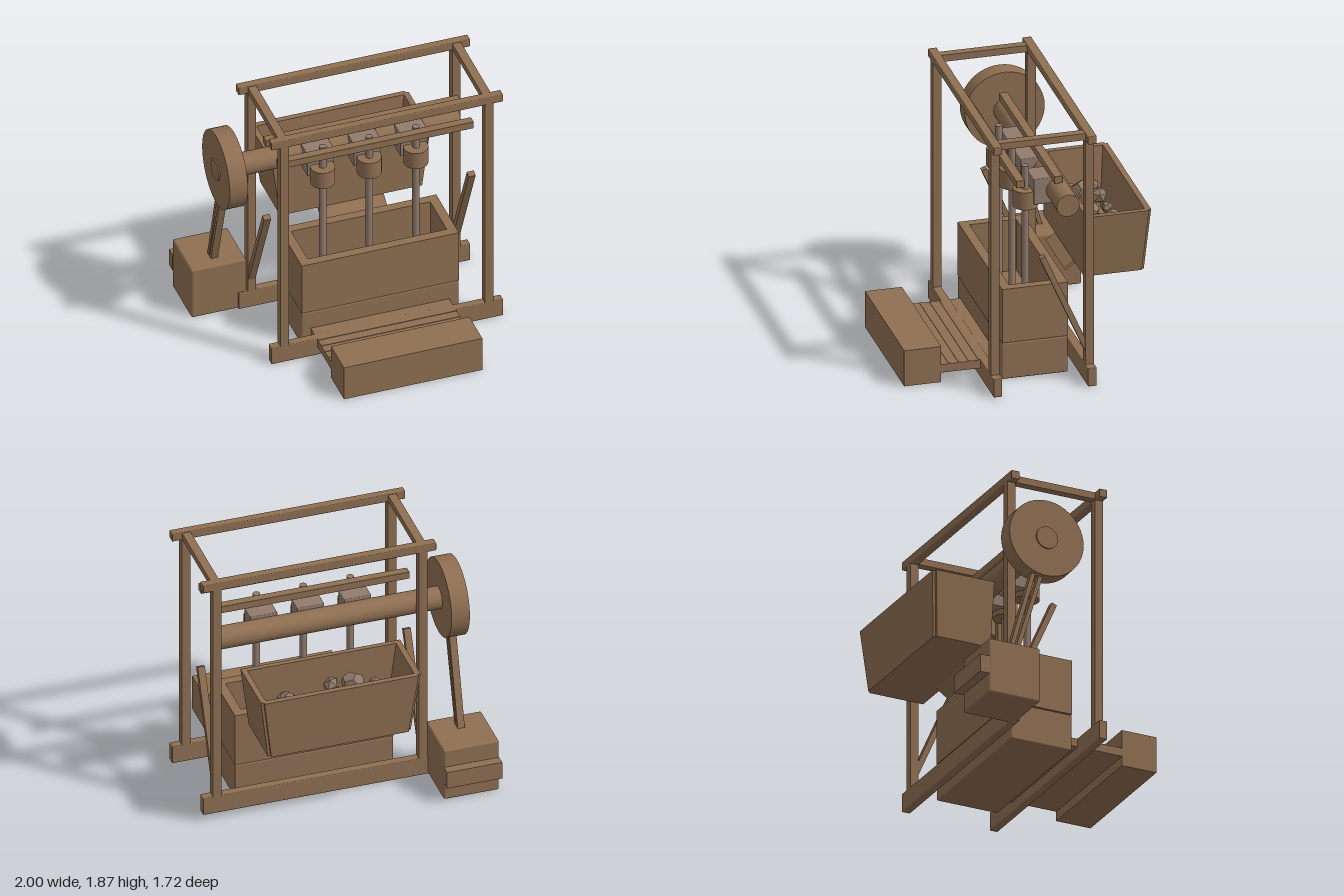
import * as THREE from 'three';
import { RoundedBoxGeometry } from 'three/addons/geometries/RoundedBoxGeometry.js';

export function createModel() {
  const model = new THREE.Group();
  model.name = 'stampMill';
  const wood = new THREE.MeshStandardMaterial({ color: 0x8f6f52 });
  wood.name = 'brownWood';
  const iron = new THREE.MeshStandardMaterial({ color: 0x917b6d });
  iron.name = 'greyIron';
  const stone = new THREE.MeshStandardMaterial({ color: 0x8f7866, flatShading: true });
  stone.name = 'greyStone';
  const MID = 0.165; // centre of the frame in x

  function add(name, geometry, material = wood, parent = model) {
    const mesh = new THREE.Mesh(geometry, material);
    mesh.name = name;
    parent.add(mesh);
    return mesh;
  }
  // Box given by its limits, optionally with softened edges
  function box(name, [x0, x1], [y0, y1], [z0, z1], material = wood, bevel = 0) {
    const size = [x1 - x0, y1 - y0, z1 - z0];
    const geo = bevel ? new RoundedBoxGeometry(...size, 2, bevel) : new THREE.BoxGeometry(...size);
    const mesh = add(name, geo, material);
    mesh.position.set((x0 + x1) / 2, (y0 + y1) / 2, (z0 + z1) / 2);
    return mesh;
  }
  // Slanted bar in the y-z plane
  function strut(name, x, width, thick, [y0, z0], [y1, z1]) {
    const mesh = add(name, new THREE.BoxGeometry(width, Math.hypot(y1 - y0, z1 - z0), thick));
    mesh.position.set(x, (y0 + y1) / 2, (z0 + z1) / 2);
    mesh.rotation.x = Math.atan2(z1 - z0, y1 - y0);
    return mesh;
  }
  // Cylinder along x
  function axle(name, x0, x1, radius) {
    const mesh = add(name, new THREE.CylinderGeometry(radius, radius, x1 - x0, 48));
    mesh.rotation.z = Math.PI / 2;
    mesh.position.set((x0 + x1) / 2, 1.305, -0.235);
  }

  // Timber frame
  for (const z of [[0.265, 0.325], [-0.4, -0.338]]) {
    box('sill', [-0.665, 1], [0, 0.135], z, wood, 0.006);
    box('topBeam', [-0.665, 1], [1.805, 1.865], z, wood, 0.006);
    for (const x of [-0.57, 0.9]) box('post', [x - 0.03, x + 0.03], [0.13, 1.81], z);
  }
  for (const x of [-0.57, 0.9]) {
    box('topSideBeam', [x - 0.03, x + 0.03], [1.81, 1.86], [-0.34, 0.268]);
    strut('brace', x, 0.05, 0.04, [0.22, -0.365], [0.965, -0.04]);
  }
  // Guide bars for the stamps
  for (const z of [0.097, -0.17]) box('guideBar', [-0.54, 0.86], [1.475, 1.53], [z - 0.03, z + 0.03], wood, 0.005);

  // Camshaft and flywheel
  axle('camshaft', -0.875, 0.87, 0.08);
  axle('flywheel', -0.865, -0.735, 0.28);

  // Stamps
  for (const x of [-0.17, MID, 0.5]) {
    add('stampRod', new THREE.CylinderGeometry(0.025, 0.025, 1.18, 24), iron).position.set(x, 0.88, -0.035);
    add('stampCollar', new THREE.CylinderGeometry(0.085, 0.085, 0.13, 32)).position.set(x, 1.235, -0.035);
    box('cam', [x - 0.097, x + 0.097], [1.21, 1.4], [-0.2, -0.07], iron, 0.006);
  }

  // Mortar box, open at the top, on its base
  box('mortarBase', [-0.4, 0.73], [0, 0.265], [-0.27, 0.19], wood, 0.008);
  box('mortarFront', [-0.4, 0.73], [0.27, 0.67], [0.125, 0.19]);
  box('mortarBack', [-0.4, 0.73], [0.27, 0.67], [-0.27, -0.205]);
  box('mortarSide', [-0.4, -0.335], [0.27, 0.67], [-0.205, 0.125]);
  box('mortarSide', [0.665, 0.73], [0.27, 0.67], [-0.205, 0.125]);
  box('mortarFloor', [-0.34, 0.67], [0.262, 0.29], [-0.21, 0.13]);

  // Sluice table with riffles and the catch box
  box('sluiceTable', [-0.335, 0.66], [0.07, 0.13], [0.185, 0.605]);
  for (let i = 0; i < 4; i++) {
    const z = 0.33 + i * 0.07;
    box('riffle', [-0.335, 0.66], [0.128, 0.134], [z - 0.008, z + 0.008]);
  }
  box('catchBox', [-0.335, 0.66], [0, 0.265], [0.6, 0.86]);

  // Ore hopper: walls flare outward toward the top
  const hopper = new THREE.Group();
  hopper.name = 'oreHopper';
  model.add(hopper);
  function hopperWall(name, [x0, x1], [y0, y1], [z0, z1]) {
    const geo = new THREE.BoxGeometry(x1 - x0, y1 - y0, z1 - z0);
    geo.translate((x0 + x1) / 2, (y0 + y1) / 2, (z0 + z1) / 2);
    const p = geo.attributes.position;
    for (let i = 0; i < p.count; i++) {
      const t = (p.getY(i) - 0.67) / 0.465;
      p.setX(i, p.getX(i) + Math.sign(p.getX(i) - MID) * t * 0.06);
      if (p.getZ(i) < -0.5) p.setZ(i, p.getZ(i) - t * 0.035);
    }
    geo.computeVertexNormals();
    add(name, geo, wood, hopper);
  }
  const tall = [0.67, 1.135];
  hopperWall('hopperFront', [-0.305, 0.635], tall, [-0.435, -0.4]);
  hopperWall('hopperBack', [-0.325, 0.655], tall, [-0.825, -0.785]);
  hopperWall('hopperSide', [-0.345, -0.305], tall, [-0.805, -0.4]);
  hopperWall('hopperSide', [0.635, 0.675], tall, [-0.805, -0.4]);
  hopperWall('hopperFloor', [-0.306, 0.636], [0.67, 0.705], [-0.79, -0.43]);
  strut('feedChute', MID, 0.47, 0.02, [0.61, -0.34], [0.685, -0.45]);

  // Ore lumps: x, y, z, radius
  const lumps = [
    [-0.145, 0.95, -0.675, 0.06], [-0.17, 0.93, -0.545, 0.042], [0.02, 0.95, -0.685, 0.065],
    [-0.01, 0.98, -0.57, 0.088], [0.14, 0.98, -0.56, 0.066], [0.18, 0.93, -0.7, 0.038],
    [0.3, 0.93, -0.695, 0.04], [0.37, 0.94, -0.68, 0.066], [0.43, 0.93, -0.7, 0.045],
    [0.445, 0.94, -0.58, 0.052], [0.47, 0.93, -0.54, 0.056],
  ];
  lumps.forEach(([x, y, z, r], i) => {
    const geo = i % 2 ? new THREE.DodecahedronGeometry(r) : new THREE.IcosahedronGeometry(r);
    const lump = add('oreLump', geo, stone, hopper);
    lump.position.set(x, y, z);
    lump.rotation.set(i * 1.3, i * 0.7, i * 2.1);
    lump.scale.set(1, 0.85, 0.95);
  });
  // Lower ore bed under the lumps
  for (let i = 0; i < 4; i++) {
    const lump = add('oreLump', new THREE.DodecahedronGeometry(0.06), stone, hopper);
    lump.position.set(-0.12 + i * 0.18, 0.86, -0.62);
    lump.rotation.set(i, i * 2, 0);
  }

  // Engine and drive belt
  box('engine', [-1, -0.605], [0, 0.4], [-0.738, -0.35], wood, 0.015);
  box('engineBackBlock', [-1, -0.605], [0.135, 0.265], [-0.805, -0.73]);
  strut('driveBelt', -0.805, 0.05, 0.03, [0.36, -0.465], [1.1, -0.24]);
  strut('driveBelt', -0.805, 0.05, 0.03, [0.36, -0.507], [1.1, -0.3]);

  return model;
}
